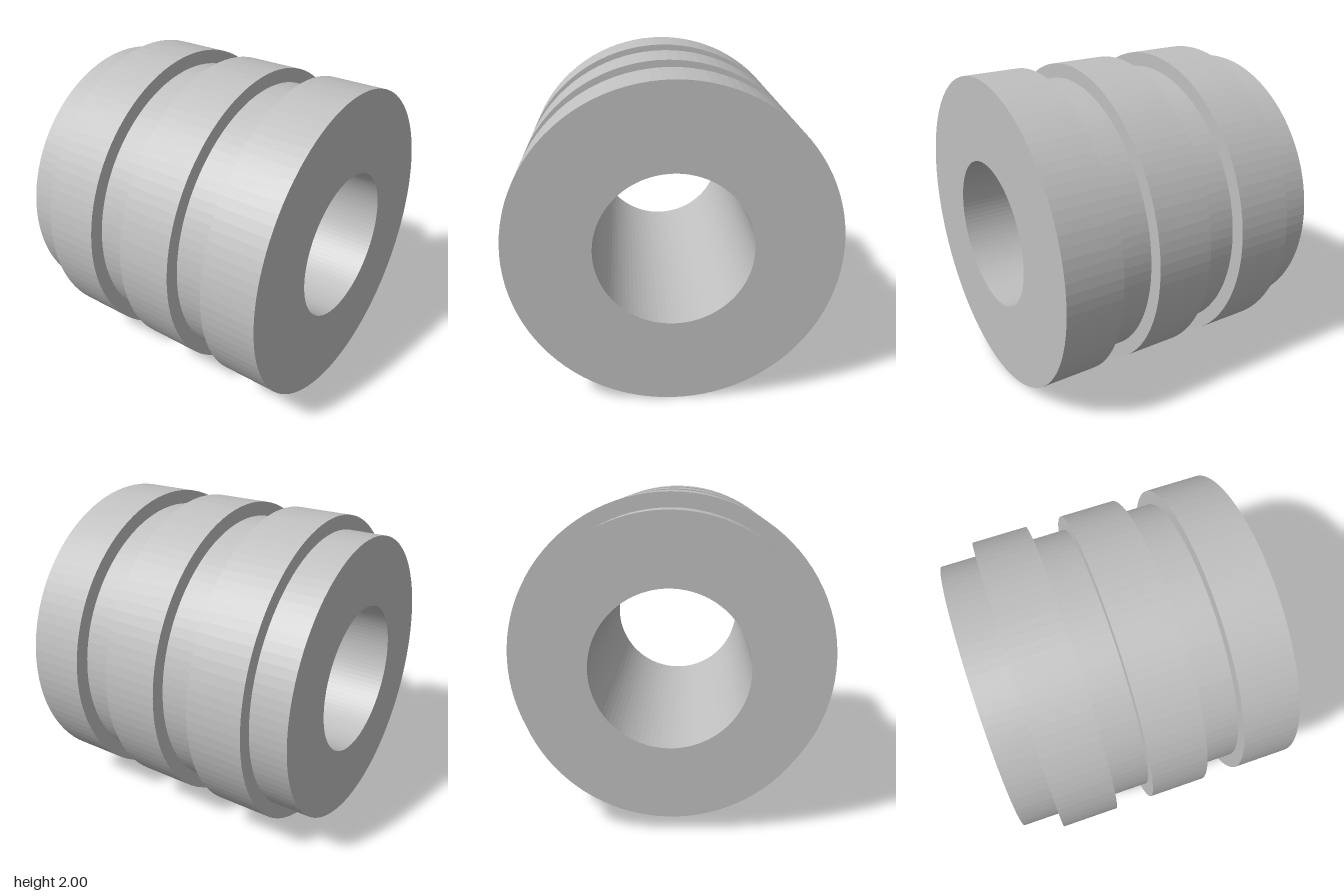
import * as THREE from 'three';

const SEGMENTS = 96;
const RIDGE_RADIUS = 1;
const GROOVE_RADIUS = 0.909;
const BORE_RADIUS = 0.474;
const GROOVE_WIDTH = 0.242;
const RIDGE_WIDTH = 0.364;
const COUNT = 3;

export function createModel() {
  const group = new THREE.Group();
  group.name = 'groovedSleeve';
  const grey = new THREE.MeshStandardMaterial({ color: 0xc0c0c0 });
  grey.name = 'grey';

  const half = (COUNT * (GROOVE_WIDTH + RIDGE_WIDTH)) / 2;
  const profile = [new THREE.Vector2(BORE_RADIUS, -half)];

  // Outer steps: each groove is followed by a wider ridge
  let along = -half;
  for (let i = 0; i < COUNT; i++) {
    profile.push(new THREE.Vector2(GROOVE_RADIUS, along));
    along += GROOVE_WIDTH;
    profile.push(new THREE.Vector2(GROOVE_RADIUS, along), new THREE.Vector2(RIDGE_RADIUS, along));
    along += RIDGE_WIDTH;
    profile.push(new THREE.Vector2(RIDGE_RADIUS, along));
  }

  // Straight bore closes the profile
  profile.push(new THREE.Vector2(BORE_RADIUS, half), new THREE.Vector2(BORE_RADIUS, -half));

  // Lay the axis along x and give every facet its own normal
  const geometry = new THREE.LatheGeometry(profile, SEGMENTS).rotateZ(-Math.PI / 2).toNonIndexed();
  geometry.computeVertexNormals();

  const sleeve = new THREE.Mesh(geometry, grey);
  sleeve.name = 'sleeve';
  sleeve.position.y = RIDGE_RADIUS;
  group.add(sleeve);
  return group;
}
